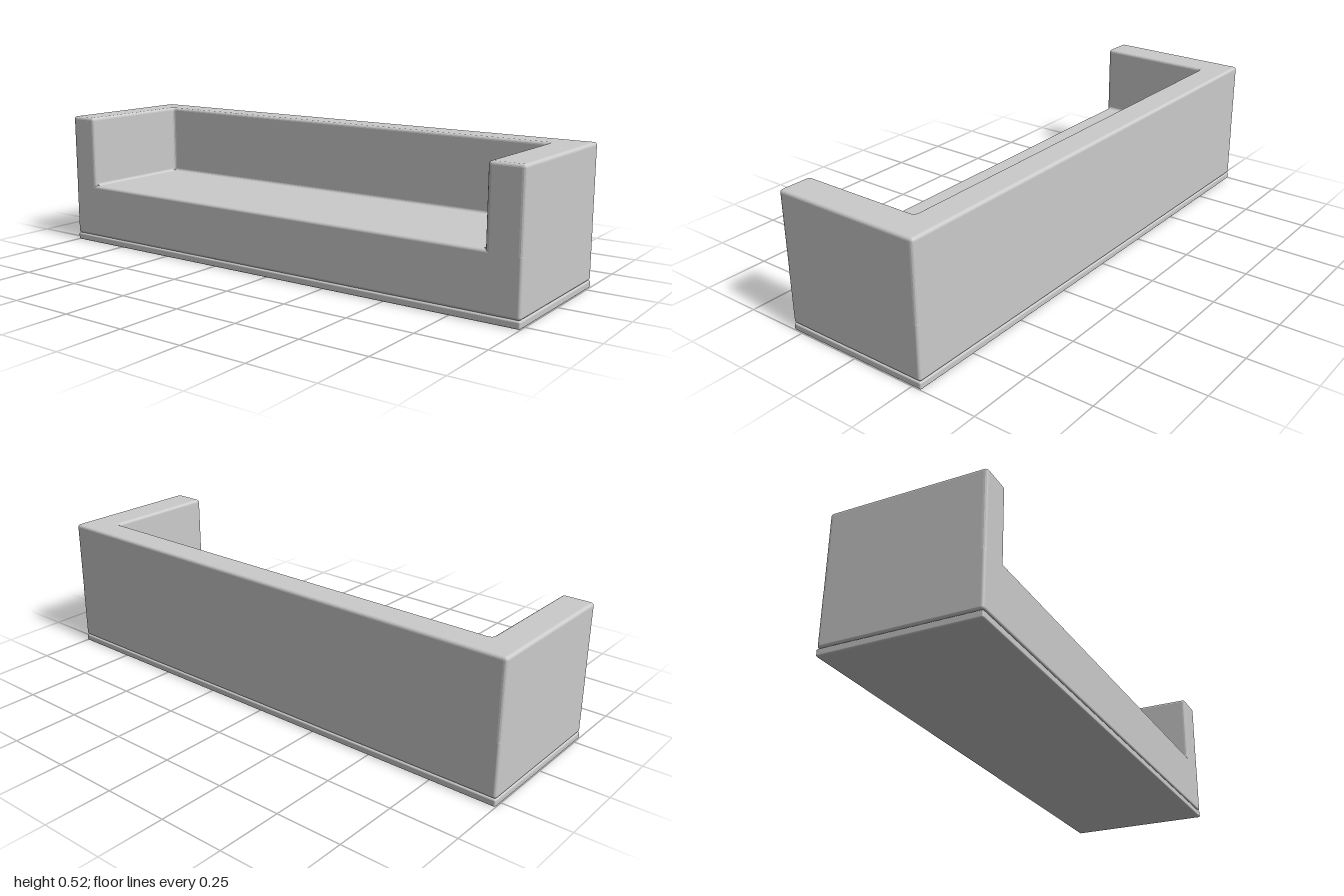
import * as THREE from 'three';
import { RoundedBoxGeometry } from 'three/addons/geometries/RoundedBoxGeometry.js';

const W = 1, D = 0.287, TOP = 0.516, SEAT = 0.238, PLINTH = 0.027;
const INNER_L = -0.883, INNER_R = 0.872, BACK = -0.176, R = 0.011;

// Closed polygon with softened corners
function roundedShape(points, r) {
  const pts = points.map(([x, y]) => new THREE.Vector2(x, y));
  const shape = new THREE.Shape();
  pts.forEach((p, i) => {
    const prev = pts[(i + pts.length - 1) % pts.length];
    const next = pts[(i + 1) % pts.length];
    const a = p.clone().add(prev.clone().sub(p).setLength(r));
    const b = p.clone().add(next.clone().sub(p).setLength(r));
    if (i === 0) shape.moveTo(a.x, a.y);
    else shape.lineTo(a.x, a.y);
    shape.quadraticCurveTo(p.x, p.y, b.x, b.y);
  });
  shape.closePath();
  return shape;
}

// Small concave fillet, running along +z from the origin, corner at (0, 0)
function filletGeometry(length) {
  const s = new THREE.Shape();
  s.moveTo(0, 0);
  s.lineTo(R, 0);
  s.absarc(R, R, R, -Math.PI / 2, -Math.PI, true);
  s.lineTo(0, 0);
  return new THREE.ExtrudeGeometry(s, { depth: length, bevelEnabled: false, curveSegments: 4 });
}

export function createModel() {
  const group = new THREE.Group();
  const material = new THREE.MeshStandardMaterial({ color: 0xcccccc });
  const add = (name, geometry, x, y, z, ry = 0) => {
    const mesh = new THREE.Mesh(geometry, material);
    mesh.name = name;
    mesh.position.set(x, y, z);
    mesh.rotation.y = ry;
    group.add(mesh);
  };

  // Thin plinth under the whole body
  add('plinth', new RoundedBoxGeometry(2 * W, PLINTH, 2 * D, 3, 0.006), 0, PLINTH / 2, 0);

  // Seat block
  const seatH = SEAT - PLINTH;
  add('seatBase', new RoundedBoxGeometry(2 * W, seatH, 2 * D, 4, R), 0, PLINTH + seatH / 2, 0);

  // U-shaped arms and back, sunk into the seat block
  const plan = roundedShape([
    [-W, -D], [INNER_L, -D], [INNER_L, -BACK], [INNER_R, -BACK],
    [INNER_R, -D], [W, -D], [W, D], [-W, D],
  ], 0.014);
  const bottom = 0.1;
  const wall = new THREE.ExtrudeGeometry(plan, {
    depth: TOP - bottom - 2 * R, curveSegments: 4,
    bevelEnabled: true, bevelThickness: R, bevelSize: R, bevelOffset: -R, bevelSegments: 4,
  });
  wall.rotateX(-Math.PI / 2);
  add('armsAndBack', wall, 0, bottom + R, 0);

  // Fillets where the seat meets the walls
  const armLength = D - BACK - R;
  add('leftFillet', filletGeometry(armLength), INNER_R, SEAT, D - R, Math.PI);
  add('rightFillet', filletGeometry(armLength), INNER_L, SEAT, BACK);
  add('backFillet', filletGeometry(INNER_R - INNER_L), INNER_R, SEAT, BACK, -Math.PI / 2);

  return group;
}
